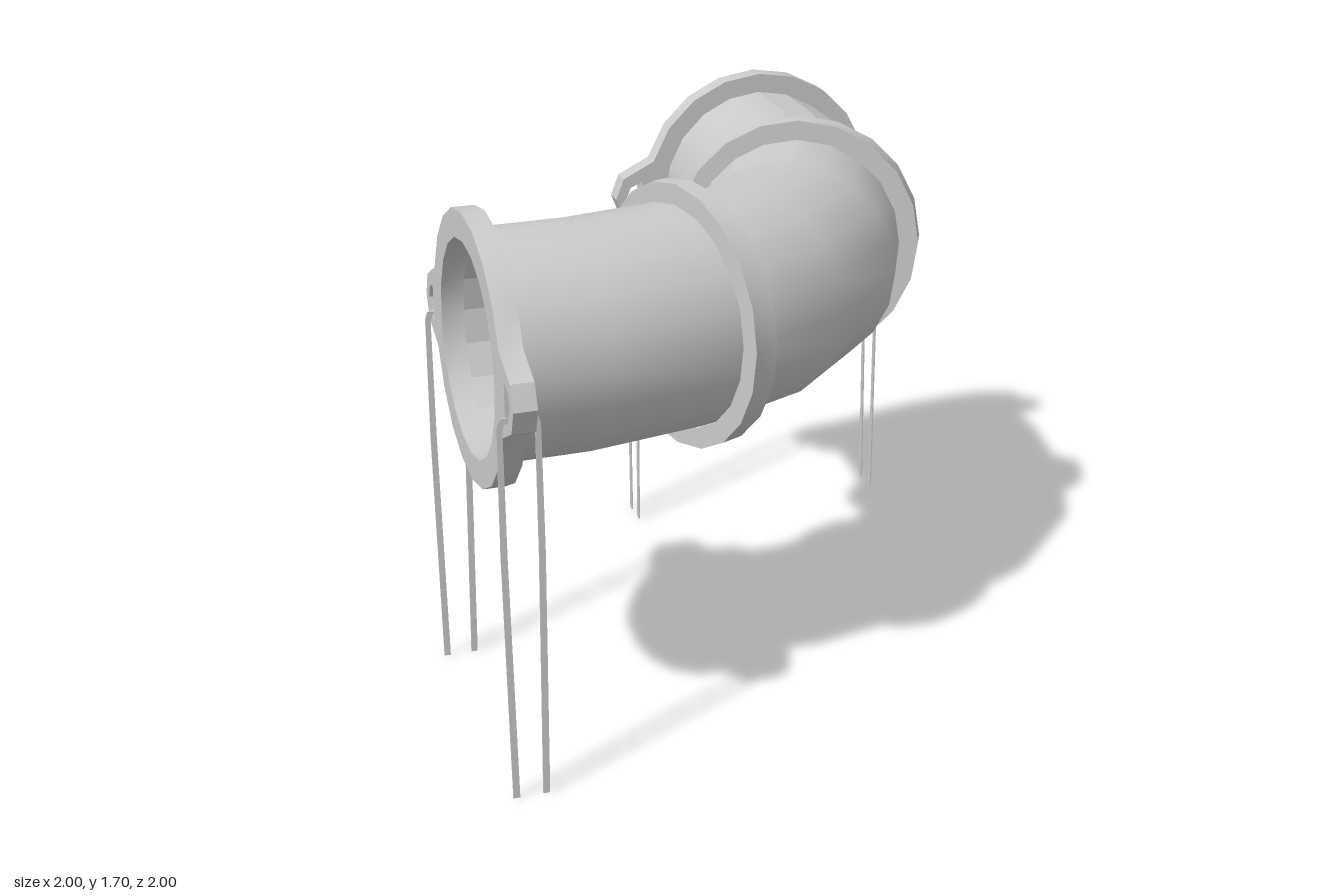
import * as THREE from 'three';
import { toCreasedNormals } from 'three/addons/utils/BufferGeometryUtils.js';

const SIDES = 20;
const AXIS_Y = 1.274;

// Swaps x and z of a run of sections and reverses it, for the other half of the bend
const mirror = (sections) =>
  sections.map(([ix, iz, ox, oz, hh, s]) => [iz, ix, oz, ox, hh, s]).reverse();

// Skin through upright ellipses; each is [innerX, innerZ, outerX, outerZ, halfHeight, scale]
function loft(sections) {
  const pos = [], idx = [];
  sections.forEach(([ix, iz, ox, oz, hh, s = 1], i) => {
    for (let j = 0; j < SIDES; j++) {
      const a = (j / SIDES) * Math.PI * 2;
      const c = Math.cos(a) * s;
      pos.push((ix + ox) / 2 + ((ox - ix) / 2) * c,
        AXIS_Y + hh * s * Math.sin(a),
        (iz + oz) / 2 + ((oz - iz) / 2) * c);
      if (i === sections.length - 1) continue;
      const p = i * SIDES + j, q = i * SIDES + ((j + 1) % SIDES);
      idx.push(p, p + SIDES, q, q, p + SIDES, q + SIDES);
    }
  });
  const g = new THREE.BufferGeometry();
  g.setAttribute('position', new THREE.Float32BufferAttribute(pos, 3));
  g.setIndex(idx);
  g.computeVertexNormals();
  return g;
}

const points = (list) => list.map(([x, y]) => new THREE.Vector2(x, y));

const circle = (r) => Array.from({ length: SIDES }, (_, j) => {
  const a = (j / SIDES) * Math.PI * 2;
  return [r * Math.cos(a), r * Math.sin(a)];
});

// Round flange plate with a pierced ear on each side
function flangeGeometry() {
  const outline = circle(0.427);
  outline.splice(SIDES / 2, 1, [-0.52, 0.075], [-0.55, 0], [-0.52, -0.075]);
  outline.splice(0, 1, [0.52, -0.075], [0.55, 0], [0.52, 0.075]);
  const shape = new THREE.Shape(points(outline));
  shape.holes.push(new THREE.Path(points(circle(0.338))));
  for (const s of [-1, 1]) {
    const slot = [[0.45, 0.06], [0.495, 0.04], [0.51, 0], [0.495, -0.04], [0.45, -0.06]];
    shape.holes.push(new THREE.Path(points(slot.map(([x, y]) => [s * x, y]))));
  }
  const g = new THREE.ExtrudeGeometry(shape, { depth: 0.072, bevelEnabled: false });
  return toCreasedNormals(g.translate(0, 0, -0.036), 0.7);
}

// Thin strap hung over the ear, with two long legs reaching the ground
function strapGeometry() {
  const outer = [[0.057, 0], [0.067, 0.8], [0.065, 1.21], [0.057, 1.235]];
  const inner = [[0.043, 1.217], [0.048, 1.2], [0.047, 0.8], [0.036, 0]];
  const flip = (list) => list.map(([x, y]) => [-x, y]).reverse();
  const shape = new THREE.Shape(points([...outer, ...flip(outer), ...flip(inner), ...inner]));
  const g = new THREE.ExtrudeGeometry(shape, { depth: 0.005, bevelEnabled: false });
  return g.translate(0, 0, -0.0025).rotateY(Math.PI / 2);
}

export function createModel() {
  const model = new THREE.Group();
  const smooth = new THREE.MeshStandardMaterial({ color: 0xcccccc });
  const thin = new THREE.MeshStandardMaterial({ color: 0xcccccc, flatShading: true, side: THREE.DoubleSide });

  const add = (parent, name, geometry, material) => {
    const mesh = new THREE.Mesh(geometry, material);
    mesh.name = name;
    parent.add(mesh);
    return mesh;
  };

  // Curved pipe, and its inner wall turned to face inwards
  const half = [
    [-0.93, 0.09, -0.93, 0.80, 0.36],
    [-0.64, 0.078, -0.60, 0.795, 0.36],
    [-0.37, 0.02, -0.15, 0.70, 0.36],
    [-0.20, -0.06, 0.21, 0.53, 0.36],
  ];
  const run = [...half, ...mirror(half)];
  add(model, 'pipe', loft(run), smooth);
  add(model, 'pipeLining', loft(run.map((s) => [...s, 0.965]).reverse()), thin);

  // Wedge-shaped collars round the pipe
  const a = [-0.40, -0.03, -0.157, 0.776, 0.427];
  const b = [-0.365, -0.045, -0.076, 0.737, 0.427];
  const collar = [[...a, 0.84], [...a, 1], [...b, 1], [...b, 0.84]];
  add(model, 'leftBendCollar', toCreasedNormals(loft(mirror(collar)), 0.5), smooth);
  add(model, 'rightBendCollar', toCreasedNormals(loft(collar), 0.5), smooth);

  // End flanges, each with a strap through both ears
  const flange = flangeGeometry(), strap = strapGeometry();
  for (const [name, x, z, turn, tilt, shift] of [
    ['backEnd', 0.45, -0.93, 0, -0.011, -0.008],
    ['rightEnd', -0.93, 0.45, -Math.PI / 2, 0.011, 0.003],
  ]) {
    const end = new THREE.Group();
    end.name = name;
    end.position.set(x, 0, z);
    end.rotation.y = turn;
    const plate = add(end, 'flange', flange, smooth);
    plate.position.y = AXIS_Y;
    plate.rotation.y = tilt;
    for (const s of [-1, 1]) add(end, 'strap', strap, thin).position.x = s * 0.48 + shift;
    model.add(end);
  }
  return model;
}
